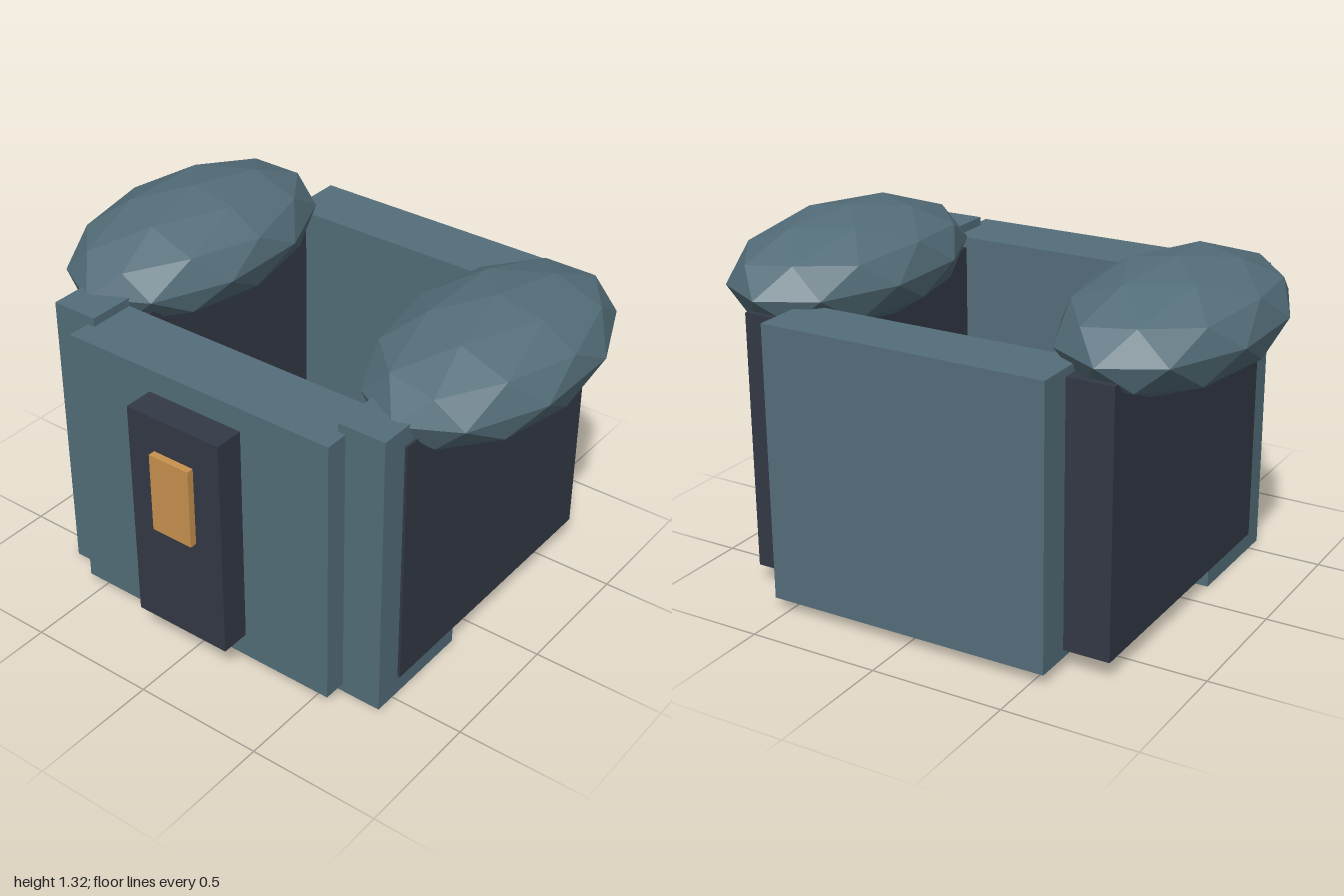
import * as THREE from 'three';

const steel = new THREE.MeshStandardMaterial({ color: 0x546e7a });
steel.name = 'blue grey';
const dark = new THREE.MeshStandardMaterial({ color: 0x333946 });
dark.name = 'dark slate';
const amber = new THREE.MeshStandardMaterial({ color: 0xc8924e });
amber.name = 'amber';

// Box given by its minimum and maximum on each axis
function box(name, material, [x0, x1], [y0, y1], [z0, z1]) {
  const mesh = new THREE.Mesh(new THREE.BoxGeometry(x1 - x0, y1 - y0, z1 - z0), material);
  mesh.position.set((x0 + x1) / 2, (y0 + y1) / 2, (z0 + z1) / 2);
  mesh.name = name;
  return mesh;
}

// Faceted ellipsoid with a vertex at its top and an upper ring vertex towards +x
function padGeometry() {
  const geometry = new THREE.IcosahedronGeometry(1, 1);
  geometry.rotateZ(-Math.atan(2 / (1 + Math.sqrt(5))));
  geometry.scale(0.352, 0.2125, 0.592);
  geometry.computeVertexNormals();
  return geometry;
}

export function createModel() {
  const model = new THREE.Group();
  model.name = 'torsoArmour';

  // Front and back plates
  model.add(box('frontPlate', steel, [-0.56, 0.56], [0.035, 1.09], [0.4, 0.67]));
  model.add(box('backPlate', steel, [-0.55, 0.55], [0.045, 1.08], [-0.81, -0.565]));

  // Chest panel and its light
  model.add(box('chestPanel', dark, [-0.198, 0.198], [0.13, 1.0], [0.66, 0.783]));
  model.add(box('chestLight', amber, [-0.085, 0.085], [0.553, 0.865], [0.77, 0.81]));

  // Side walls, corner posts and shoulder pads
  const pad = padGeometry();
  for (const [side, s] of [['left', 1], ['right', -1]]) {
    const span = (a, b) => (s > 0 ? [a, b] : [-b, -a]);
    model.add(box(side + 'SideWall', dark, span(0.485, 0.725), [0.075, 1.05], [-0.675, 0.47]));
    model.add(box(side + 'CornerPost', steel, span(0.53, 0.715), [0, 1.123], [0.125, 0.58]));
    const shoulder = new THREE.Mesh(pad, steel);
    shoulder.name = side + 'ShoulderPad';
    shoulder.position.set(s * 0.665, 1.108, -0.115);
    model.add(shoulder);
  }
  return model;
}
